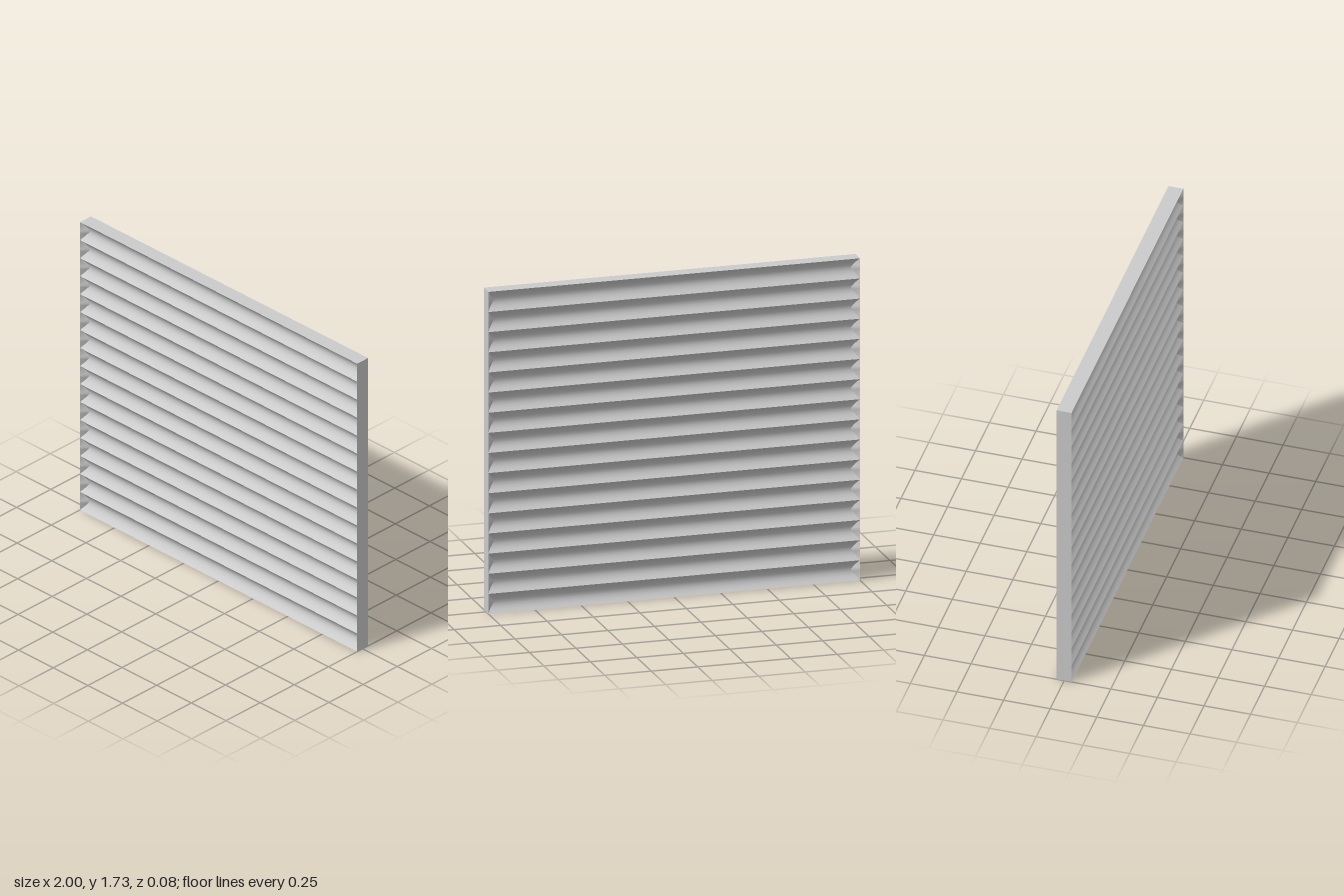
import * as THREE from 'three';
import { mergeGeometries } from 'three/addons/utils/BufferGeometryUtils.js';

const W = 2, H = 1.73, D = 0.08, ROWS = 16;
const PITCH = H / ROWS, DEPTH = 0.033, INSET = 0.04, STEPS = 8;

// Smooth surface ruled between two upward-running edges (left edge first, facing +z)
function strip(left, right) {
  const pos = [], index = [];
  left.forEach((p, i) => {
    pos.push(...p, ...right[i]);
    if (i) {
      const a = 2 * (i - 1);
      index.push(a, a + 1, a + 3, a, a + 3, a + 2);
    }
  });
  const g = new THREE.BufferGeometry();
  g.setAttribute('position', new THREE.Float32BufferAttribute(pos, 3));
  g.setIndex(index);
  g.computeVertexNormals();
  return g;
}

// One hollowed slat: a concave trough with tapered ends
function slatGeometry() {
  const edge = (x, inset, depth) => Array.from({ length: STEPS + 1 }, (_, i) => {
    const t = i / STEPS, s = 2 * t - 1;
    return [
      x * (W / 2 - inset * (1 - Math.abs(s))),
      t * PITCH,
      D / 2 - depth * (1 - s * s),
    ];
  });
  const outerL = edge(-1, 0, 0), innerL = edge(-1, INSET, DEPTH);
  const innerR = edge(1, INSET, DEPTH), outerR = edge(1, 0, 0);
  return mergeGeometries([strip(outerL, innerL), strip(innerL, innerR), strip(innerR, outerR)]);
}

export function createModel() {
  const model = new THREE.Group();
  model.name = 'slattedPanel';
  const mat = new THREE.MeshStandardMaterial({ color: 0xcccccc, side: THREE.DoubleSide });

  // Thin rim: two sides, top and bottom
  const rim = (name, w, h, x, y, rx, ry) => {
    const m = new THREE.Mesh(new THREE.PlaneGeometry(w, h), mat);
    m.name = name;
    m.position.set(x, y, 0);
    m.rotation.set(rx, ry, 0);
    model.add(m);
  };
  rim('leftSide', D, H, W / 2, H / 2, 0, Math.PI / 2);
  rim('rightSide', D, H, -W / 2, H / 2, 0, -Math.PI / 2);
  rim('top', W, D, 0, H, -Math.PI / 2, 0);
  rim('bottom', W, D, 0, 0, Math.PI / 2, 0);

  // Identical rows of slats on the front and the back
  const slat = slatGeometry();
  for (const [name, turn] of [['frontSlats', 0], ['backSlats', Math.PI]]) {
    const face = new THREE.Group();
    face.name = name;
    face.rotation.y = turn;
    for (let i = 0; i < ROWS; i++) {
      const m = new THREE.Mesh(slat, mat);
      m.name = 'slat';
      m.position.y = i * PITCH;
      face.add(m);
    }
    model.add(face);
  }
  return model;
}
